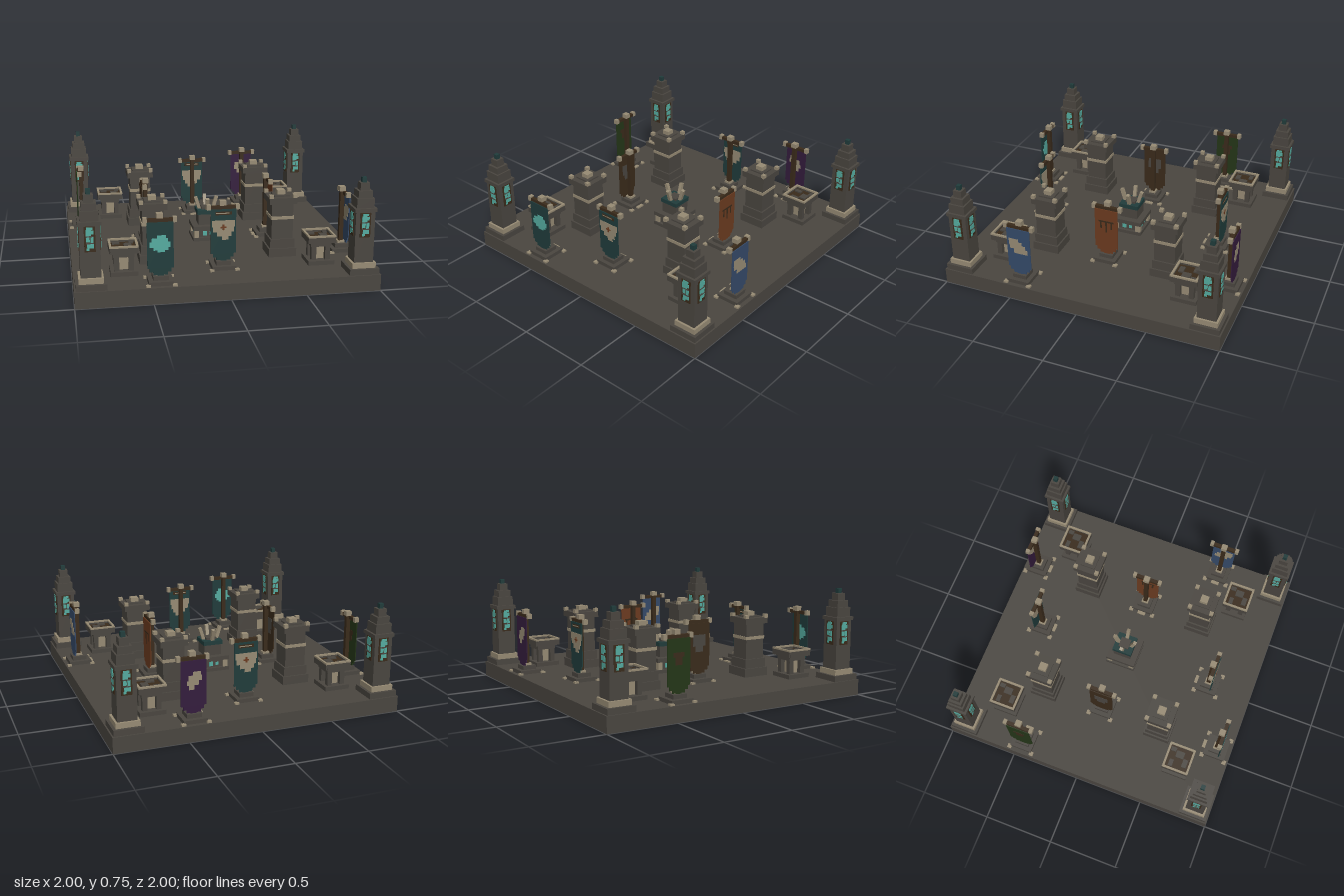
import * as THREE from 'three';

const mat = (name, color) => Object.assign(new THREE.MeshStandardMaterial({ color }), { name });
const M = {
  stone: mat('stone', 0x4a4640), tan: mat('pale stone', 0x978b74), brown: mat('dark wood', 0x3a2b1b),
  teal: mat('dark teal', 0x203c3b), glow: mat('bright teal', 0x55aca0), blue: mat('blue cloth', 0x354a69),
  rust: mat('rust cloth', 0x6c3b20), purple: mat('purple cloth', 0x341c3d), green: mat('green cloth', 0x243618),
};

// Box given by its centre x, z, its bottom and top, and its width and depth
function block(parent, name, m, x, z, y0, y1, w, d = w) {
  const mesh = new THREE.Mesh(new THREE.BoxGeometry(w, y1 - y0, d), M[m]);
  mesh.position.set(x, (y0 + y1) / 2, z);
  mesh.name = name;
  parent.add(mesh);
  return mesh;
}

function group(parent, name, x, z, turn = 0) {
  const g = new THREE.Group();
  g.name = name;
  g.position.set(x, 0, z);
  g.rotation.y = turn;
  parent.add(g);
  return g;
}

const corners = [[-1, -1], [1, -1], [-1, 1], [1, 1]];
const G = 0.11; // floor height

function tower(root, x, z) {
  const g = group(root, 'cornerTower', x, z);
  const tiers = [
    ['towerBase', 'stone', G, 0.15, 0.2], ['towerBand', 'tan', 0.15, 0.187, 0.16],
    ['towerShaft', 'stone', 0.187, 0.53, 0.13], ['towerCornice', 'stone', 0.53, 0.555, 0.15],
    ['spireLower', 'stone', 0.555, 0.62, 0.118], ['spireMiddle', 'stone', 0.62, 0.667, 0.095],
    ['spireUpper', 'stone', 0.667, 0.717, 0.062], ['spireTip', 'teal', 0.717, 0.75, 0.03],
  ];
  for (const [n, m, a, b, w] of tiers) block(g, n, m, 0, 0, a, b, w);
  // A broken glass window on each side
  for (let i = 0; i < 4; i++) {
    const s = group(g, 'towerWindow', 0, 0, i * Math.PI / 2);
    block(s, 'windowFrame', 'brown', 0, 0.067, 0.36, 0.525, 0.07, 0.006);
    const panes = [[0, 0.505, 0.52, 0.04], [-0.008, 0.465, 0.505, 0.034], [0.012, 0.475, 0.5, 0.026],
      [-0.012, 0.425, 0.455, 0.024], [0.014, 0.42, 0.46, 0.02], [0.004, 0.385, 0.412, 0.042], [-0.012, 0.37, 0.385, 0.018]];
    for (const [px, a, b, w] of panes) block(s, 'glassPane', 'glow', px, 0.071, a, b, w, 0.005);
    for (const y of [0.413, 0.458]) block(s, 'windowBar', 'stone', 0, 0.072, y, y + 0.007, 0.05, 0.006);
  }
}

function brazier(root, x, z) {
  const g = group(root, 'stoneBasin', x, z);
  block(g, 'basinFoot', 'stone', 0, 0, G, 0.14, 0.18);
  block(g, 'basinCore', 'tan', 0, 0, 0.14, 0.24, 0.065);
  for (const [i, k] of corners) block(g, 'basinLeg', 'stone', i * 0.048, k * 0.048, 0.14, 0.24, 0.034);
  block(g, 'basinNeck', 'stone', 0, 0, 0.235, 0.27, 0.14);
  block(g, 'basinFloor', 'brown', 0, 0, 0.265, 0.292, 0.17);
  // Raised rim with a pale top
  for (let i = 0; i < 4; i++) {
    const s = group(g, 'basinSide', 0, 0, i * Math.PI / 2);
    block(s, 'basinWall', 'stone', 0.004, 0.088, 0.265, 0.305, 0.18, 0.014);
    block(s, 'basinRim', 'tan', 0.005, 0.088, 0.305, 0.317, 0.18, 0.015);
  }
  // Rubble in the bowl
  for (const [a, b, w, d] of [[-0.045, -0.045, 0.05, 0.03], [0.03, 0.0, 0.05, 0.06], [-0.02, 0.05, 0.06, 0.035], [0.055, -0.055, 0.03, 0.04]])
    block(g, 'basinRubble', 'stone', a, b, 0.285, 0.302, w, d);
}

function pillar(root, x, z) {
  const g = group(root, 'pillar', x, z);
  const tiers = [
    ['pillarBase', 'stone', G, 0.17, 0.195], ['pillarPlinth', 'stone', 0.17, 0.235, 0.172],
    ['pillarShaft', 'stone', 0.235, 0.49, 0.15], ['pillarBand', 'tan', 0.375, 0.397, 0.16],
    ['pillarCap', 'stone', 0.487, 0.53, 0.192], ['pillarCrown', 'stone', 0.53, 0.54, 0.11],
    ['pillarFinial', 'tan', 0.535, 0.57, 0.056],
  ];
  for (const [n, m, a, b, w] of tiers) block(g, n, m, 0, 0, a, b, w);
  for (const [i, k] of corners) block(g, 'pillarStud', 'tan', i * 0.082, k * 0.082, 0.525, 0.553, 0.028);
}

// Emblem rows: colour, left, right, bottom, top
const cloud = [['glow', -0.02, 0.035, 0.415, 0.435], ['glow', -0.055, 0.05, 0.39, 0.415],
  ['glow', -0.068, 0.063, 0.355, 0.39], ['glow', -0.045, 0.05, 0.335, 0.355], ['glow', -0.02, 0.03, 0.323, 0.335]];
const shield = [['tan', -0.078, 0.078, 0.4, 0.445], ['tan', -0.07, 0.07, 0.365, 0.4], ['tan', -0.045, 0.055, 0.335, 0.365],
  ['tan', -0.01, 0.035, 0.31, 0.335], ['brown', -0.055, 0.055, 0.482, 0.505], ['tan', -0.05, 0.04, 0.49, 0.497]];
const wing = [['tan', -0.07, 0, 0.42, 0.442], ['tan', -0.07, 0.025, 0.395, 0.42],
  ['tan', -0.065, 0.05, 0.365, 0.395], ['tan', -0.035, 0.065, 0.33, 0.365]];
const leaf = [['tan', -0.005, 0.05, 0.42, 0.445], ['tan', -0.035, 0.055, 0.385, 0.42],
  ['tan', -0.045, 0.035, 0.355, 0.385], ['tan', -0.03, 0.005, 0.325, 0.355]];
const trident = [['brown', -0.055, 0.055, 0.42, 0.432], ['brown', -0.045, -0.033, 0.37, 0.42],
  ['brown', -0.006, 0.006, 0.34, 0.42], ['brown', 0.033, 0.045, 0.37, 0.42]];
const bars = [['brown', -0.04, 0.04, 0.4, 0.43], ['brown', -0.025, 0.025, 0.35, 0.4]];
const slab = [['stone', -0.05, 0.05, 0.36, 0.44], ['stone', -0.03, 0.03, 0.32, 0.36]];

function banner(root, x, z, turn, cloth, emblem) {
  const g = group(root, 'banner', x, z, turn);
  block(g, 'standFoot', 'stone', 0, 0, G, 0.137, 0.16);
  block(g, 'standStep', 'stone', 0, 0, 0.137, 0.165, 0.1);
  block(g, 'standCollar', 'tan', 0, 0, 0.165, 0.18, 0.05);
  block(g, 'pole', 'brown', 0, 0, 0.165, 0.54, 0.03);
  block(g, 'finial', 'tan', 0, 0, 0.54, 0.573, 0.042);
  block(g, 'crossbar', 'brown', 0, 0.015, 0.518, 0.541, 0.2, 0.026);
  for (const s of [-1, 1]) block(g, 'crossbarEnd', 'tan', s * 0.096, 0.015, 0.515, 0.55, 0.026, 0.032);
  // Hanging cloth with a stepped tail
  for (const [a, b, w] of [[0.215, 0.52, 0.17], [0.19, 0.215, 0.14], [0.17, 0.19, 0.095], [0.155, 0.17, 0.04]])
    block(g, 'cloth', cloth, 0, 0.032, a, b, w, 0.006);
  for (const [m, l, r, a, b] of emblem) block(g, 'emblem', m, (l + r) / 2, 0.032, a, b, r - l, m === 'brown' ? 0.009 : 0.0098);
  if (emblem === shield) {
    block(g, 'emblemCross', 'rust', 0, 0.037, 0.392, 0.402, 0.04, 0.004);
    block(g, 'emblemCross', 'rust', 0, 0.038, 0.378, 0.416, 0.012, 0.004);
  }
  // Loose pale stones around the stand
  for (const [i, k] of corners) block(g, 'floorStone', 'tan', i * 0.085, k * 0.085, G, 0.122, 0.03);
  block(g, 'floorStone', 'tan', 0, -0.09, G, 0.12, 0.06, 0.028);
}

function altar(root) {
  const g = group(root, 'centralAltar', 0, 0);
  block(g, 'altarBase', 'stone', 0, 0, G, 0.135, 0.22);
  block(g, 'altarBody', 'stone', 0, 0, 0.135, 0.19, 0.175);
  block(g, 'altarSlab', 'stone', 0, 0, 0.19, 0.22, 0.22);
  block(g, 'altarColumn', 'stone', 0, 0, 0.22, 0.3, 0.13);
  block(g, 'altarBowl', 'teal', 0, 0, 0.3, 0.33, 0.145);
  block(g, 'altarHeart', 'stone', 0, 0, 0.33, 0.345, 0.075);
  for (const [i, k] of corners) block(g, 'altarLeg', 'tan', i * 0.085, k * 0.085, 0.135, 0.19, 0.036);
  for (let i = 0; i < 4; i++) {
    const s = group(g, 'altarSide', 0, 0, i * Math.PI / 2);
    block(s, 'altarGem', 'glow', -0.022, 0.089, 0.145, 0.178, 0.03, 0.006);
    block(s, 'altarGem', 'glow', 0.025, 0.089, 0.15, 0.172, 0.024, 0.006);
    // Prongs leaning outward
    const p = block(s, 'altarProng', 'tan', 0, 0.063, 0.32, 0.42, 0.024);
    p.rotation.x = 0.3;
  }
}

export function createModel() {
  const root = new THREE.Group();
  root.name = 'bannerCourt';
  block(root, 'floor', 'stone', 0, 0, 0, G, 2);
  for (const [i, k] of corners) {
    tower(root, i * 0.89, k * 0.89);
    brazier(root, i * 0.665, k * 0.665);
    pillar(root, i * 0.447, k * 0.447);
  }
  altar(root);
  const q = Math.PI / 2;
  banner(root, -0.447, 0.89, 0, 'teal', cloud);
  banner(root, 0, 0.67, 0, 'teal', shield);
  banner(root, 0.89, 0.447, q, 'blue', wing);
  banner(root, 0.445, 0, q, 'rust', trident);
  banner(root, 0.447, -0.89, 2 * q, 'purple', leaf);
  banner(root, 0, -0.67, 2 * q, 'teal', shield);
  banner(root, -0.89, -0.447, -q, 'green', bars);
  banner(root, -0.445, 0, -q, 'brown', slab);
  return root;
}
